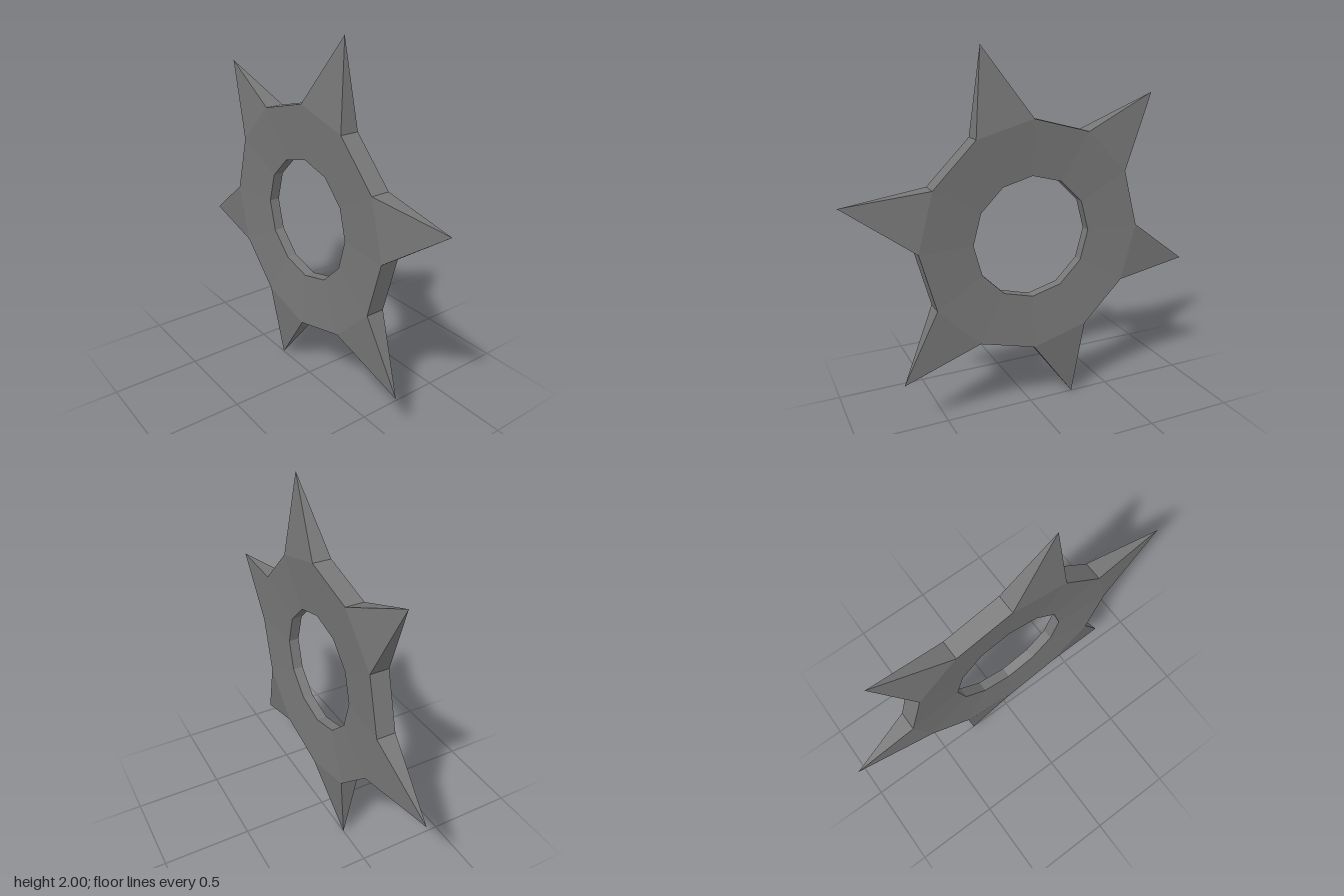
import * as THREE from 'three';

const SIDES = 12, OUTER = 0.635, INNER = 0.337;
const RIM_THICK = 0.104, HOLE_THICK = 0.058;
const TIP = 1 / Math.cos(Math.PI / 12); // tip radius that gives a 2 unit span

export function createModel() {
  const group = new THREE.Group();
  group.name = 'throwingStar';
  const material = new THREE.MeshStandardMaterial({ color: 0x777777, flatShading: true });

  // Twelve-sided ring in the z-y plane, thinning towards the hole
  const profile = [
    [OUTER, -RIM_THICK / 2], [OUTER, RIM_THICK / 2],
    [INNER, HOLE_THICK / 2], [INNER, -HOLE_THICK / 2],
    [OUTER, -RIM_THICK / 2],
  ].map(([radius, side]) => new THREE.Vector2(radius, side));
  const ring = new THREE.Mesh(new THREE.LatheGeometry(profile, SIDES).rotateZ(Math.PI / 2), material);
  ring.name = 'ring';
  group.add(ring);

  // Four-sided spikes growing from every other rim facet
  const apothem = OUTER * Math.cos(Math.PI / SIDES);
  const facet = 2 * OUTER * Math.sin(Math.PI / SIDES);
  const height = TIP - apothem;
  const spikeGeometry = new THREE.ConeGeometry(Math.SQRT1_2, 1, 4, 1, true);
  spikeGeometry.rotateY(Math.PI / 4).scale(RIM_THICK, height, facet);
  spikeGeometry.translate(0, apothem + height / 2, 0);
  for (let i = 0; i < 6; i++) {
    const spike = new THREE.Mesh(spikeGeometry, material);
    spike.name = `spike${i + 1}`;
    spike.rotation.x = Math.PI / 12 + (i * Math.PI) / 3;
    group.add(spike);
  }

  group.position.y = 1;
  return group;
}
